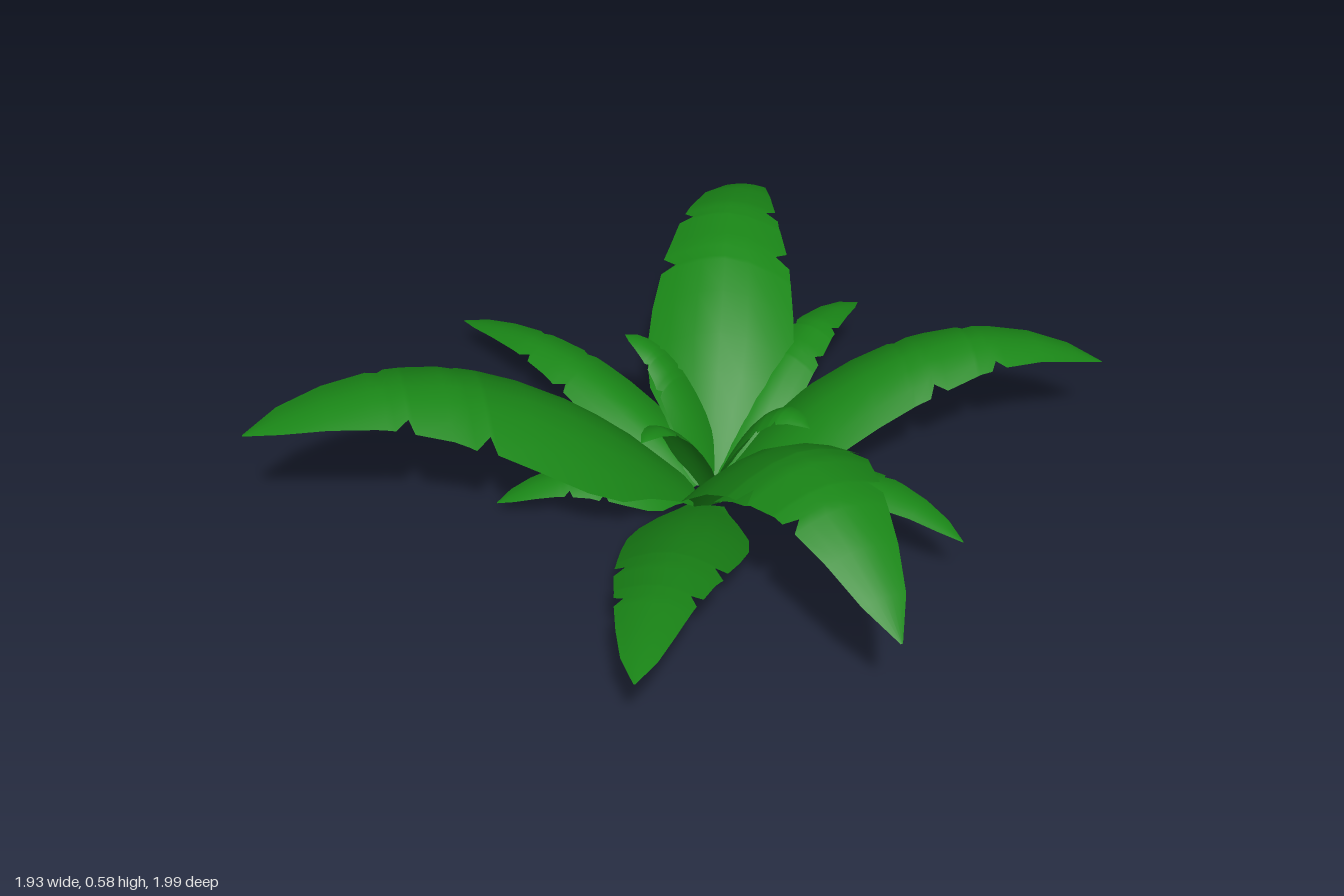
import * as THREE from 'three';

// Leaf outline: position along the leaf, then the half-width of each side (1 = widest).
// The sudden dips are small tears in the margin.
const OUTLINE = [
  [0, 0.3, 0.3], [0.06, 0.45, 0.45], [0.13, 0.69, 0.69], [0.2, 0.94, 0.94],
  [0.28, 1.03, 1.03], [0.38, 0.99, 0.99], [0.47, 0.9, 0.93], [0.48, 0.7, 0.92],
  [0.515, 0.88, 0.9], [0.53, 0.85, 0.7], [0.56, 0.8, 0.85], [0.64, 0.71, 0.73],
  [0.65, 0.52, 0.71], [0.68, 0.65, 0.68], [0.695, 0.63, 0.5], [0.72, 0.6, 0.62],
  [0.82, 0.47, 0.47], [0.92, 0.29, 0.29], [1, 0.015, 0.015],
];
const COLUMNS = [-1, -0.7, -0.35, 0, 0.35, 0.7, 1];
const ARCH = 0.42;

const material = new THREE.MeshStandardMaterial({ color: 0x1a8717, side: THREE.DoubleSide });

// An arched blade from base to tip; its spine is a parabola with its top at fraction `top`.
// `bend` swings the outer part sideways.
function makeLeaf({ name, base = [0.01, -0.01], tip, peak, top, width, bend = 0 }) {
  const start = new THREE.Vector2(...base);
  const dir = new THREE.Vector2(...tip).sub(start);
  const length = dir.length();
  dir.normalize();

  const positions = [];
  const indices = [];
  const n = COLUMNS.length;
  OUTLINE.forEach(([t, left, right], row) => {
    const spine = peak * (1 - ((top - t) / top) ** 2);
    const swing = bend * Math.sin(Math.PI * t * t);
    for (const s of COLUMNS) {
      const u = s * (s < 0 ? left : right);
      const drop = ARCH * width * Math.abs(u) ** 1.8;
      const side = u * width + swing;
      positions.push(
        start.x + dir.x * length * t - dir.y * side,
        Math.max(0, spine - drop),
        start.y + dir.y * length * t + dir.x * side,
      );
    }
    if (row === 0) return;
    for (let c = 0; c < n - 1; c++) {
      const a = (row - 1) * n + c;
      const b = a + n;
      indices.push(a, b, a + 1, a + 1, b, b + 1);
    }
  });

  const geometry = new THREE.BufferGeometry();
  geometry.setAttribute('position', new THREE.Float32BufferAttribute(positions, 3));
  geometry.setIndex(indices);
  geometry.computeVertexNormals();
  const mesh = new THREE.Mesh(geometry, material);
  mesh.name = name;
  return mesh;
}

// Tips are given as [x, z].
const LEAVES = [
  // large arching leaves
  { name: 'backRightLeaf', base: [0, -0.04], tip: [-0.49, -1], peak: 0.46, top: 0.64, width: 0.205, bend: -0.03 },
  { name: 'backLeftLeaf', base: [0.03, -0.03], tip: [0.8, -0.81], peak: 0.42, top: 0.65, width: 0.16, bend: -0.01 },
  { name: 'frontLeftLeaf', base: [0.055, 0.015], tip: [0.96, 0.55], peak: 0.578, top: 0.615, width: 0.21, bend: 0.015 },
  { name: 'frontLeaf', base: [0.04, 0.03], tip: [0.48, 0.99], peak: 0.315, top: 0.86, width: 0.16, bend: 0.01 },
  { name: 'frontRightLeaf', base: [-0.01, 0.01], tip: [-0.84, 0.9], peak: 0.52, top: 0.695, width: 0.21, bend: -0.01 },
  // slender low leaves
  { name: 'rightLeaf', base: [-0.03, -0.04], tip: [-0.97, -0.17], peak: 0.185, top: 0.6, width: 0.1 },
  { name: 'leftLeaf', base: [0.04, -0.01], tip: [0.81, -0.03], peak: 0.27, top: 0.65, width: 0.1 },
  { name: 'backLeaf', base: [0.03, -0.04], tip: [0.01, -0.8], peak: 0.27, top: 0.65, width: 0.095 },
  { name: 'lowFrontRightLeaf', base: [-0.01, 0.01], tip: [-0.4, 0.41], peak: 0.13, top: 0.58, width: 0.1 },
  // young leaves in the heart
  { name: 'youngRightLeaf', base: [0.01, -0.06], tip: [-0.31, -0.08], peak: 0.38, top: 0.9, width: 0.065 },
  { name: 'youngLeftLeaf', base: [0.01, -0.06], tip: [0.3, -0.08], peak: 0.34, top: 0.78, width: 0.075 },
  { name: 'youngFrontLeaf', base: [0.02, -0.01], tip: [0.02, 0.31], peak: 0.4, top: 0.88, width: 0.065 },
];

export function createModel() {
  const plant = new THREE.Group();
  plant.name = 'plant';
  for (const leaf of LEAVES) plant.add(makeLeaf(leaf));
  return plant;
}
